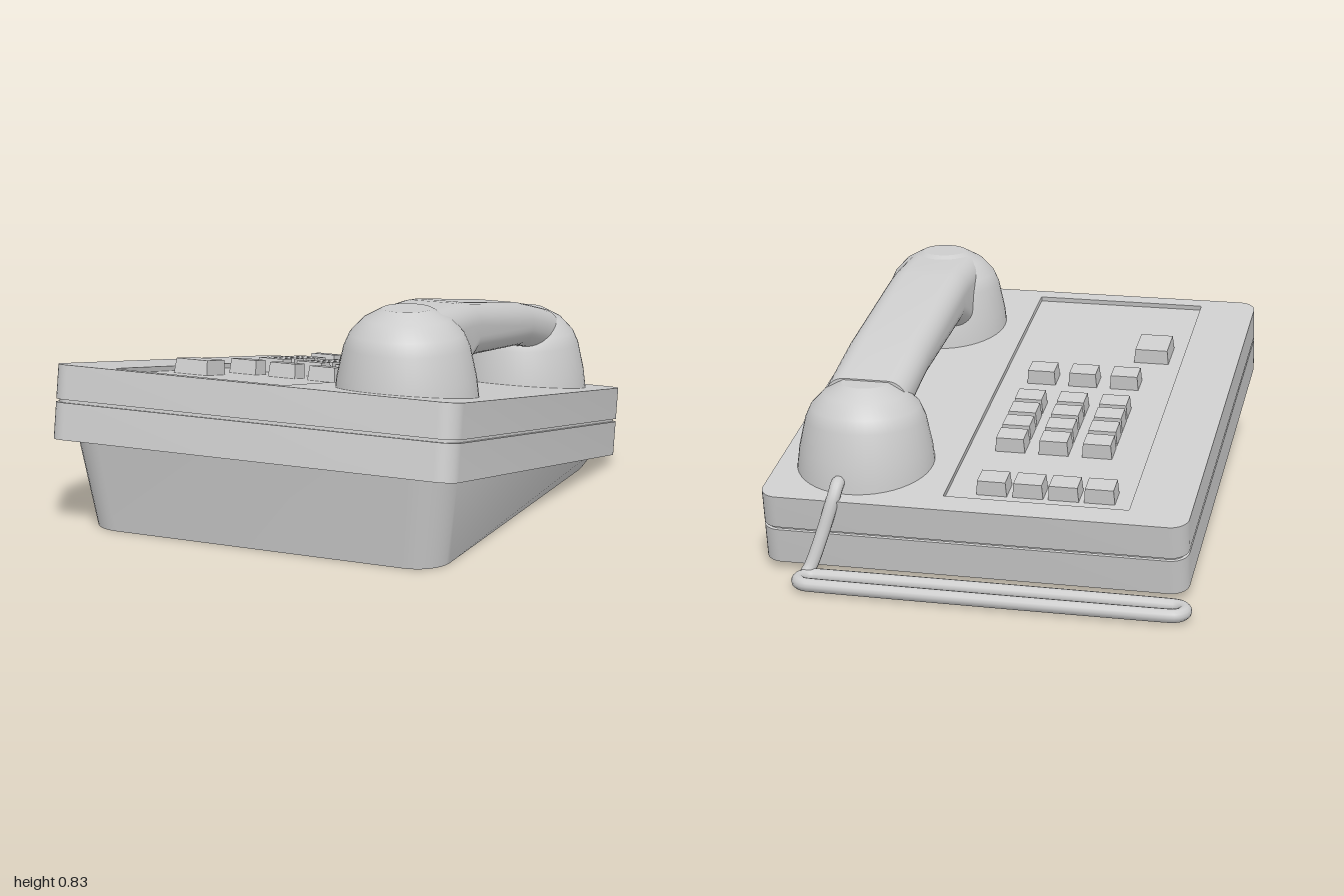
import * as THREE from 'three';
import { toCreasedNormals } from 'three/addons/utils/BufferGeometryUtils.js';

const grey = new THREE.MeshStandardMaterial({ color: 0xcccccc });
grey.name = 'light grey plastic';

const TILT = THREE.MathUtils.degToRad(10);
const CX = 0.018, CY = 0.443, CZ = 0.065; // middle of the sloping top face

function part(parent, name, geometry, x = 0, y = 0, z = 0) {
  const mesh = new THREE.Mesh(geometry, grey);
  mesh.name = name;
  mesh.position.set(x, y, z);
  parent.add(mesh);
  return mesh;
}

// Counter-clockwise outline of a rectangle with rounded corners
function roundRect(x0, x1, y0, y1, r, n = 8) {
  const pts = [];
  const corners = [[x1 - r, y1 - r], [x0 + r, y1 - r], [x0 + r, y0 + r], [x1 - r, y0 + r]];
  corners.forEach(([cx, cy], k) => {
    for (let i = 0; i <= n; i++) {
      const a = (k + i / n) * Math.PI / 2;
      pts.push(new THREE.Vector2(cx + r * Math.cos(a), cy + r * Math.sin(a)));
    }
  });
  return pts;
}

// Closed skin through a list of equal-length rings, capped at both ends
function loft(rings, crease) {
  const pos = [], index = [], n = rings[0].length;
  rings.forEach(ring => ring.forEach(p => pos.push(p.x, p.y, p.z)));
  for (let i = 0; i < rings.length - 1; i++) {
    for (let j = 0; j < n; j++) {
      const a = i * n + j, b = i * n + (j + 1) % n;
      index.push(a, b, b + n, a, b + n, a + n);
    }
  }
  [0, rings.length - 1].forEach((r, end) => {
    const c = new THREE.Vector3();
    rings[r].forEach(p => c.addScaledVector(p, 1 / n));
    const ci = pos.length / 3;
    pos.push(c.x, c.y, c.z);
    for (let j = 0; j < n; j++) {
      const a = r * n + j, b = r * n + (j + 1) % n;
      if (end) index.push(ci, a, b); else index.push(ci, b, a);
    }
  });
  const g = new THREE.BufferGeometry();
  g.setAttribute('position', new THREE.Float32BufferAttribute(pos, 3));
  g.setIndex(index);
  return toCreasedNormals(g, crease);
}

// Horizontal slab between two heights, with an optional rectangular opening
function slab(outline, bottom, top, hole) {
  const shape = new THREE.Shape(outline);
  if (hole) shape.holes.push(new THREE.Path(hole));
  const g = new THREE.ExtrudeGeometry(shape, { depth: top - bottom, bevelEnabled: false });
  g.rotateX(-Math.PI / 2);
  g.translate(0, bottom, 0);
  return toCreasedNormals(g, 0.5);
}

// Key that narrows slightly towards its top
function keyGeometry(w, d) {
  const g = new THREE.BoxGeometry(w, 0.06, d);
  const p = g.attributes.position;
  for (let i = 0; i < p.count; i++) {
    if (p.getY(i) > 0) p.setXYZ(i, p.getX(i) * 0.92, p.getY(i), p.getZ(i) * 0.92);
  }
  return toCreasedNormals(g, 0.1);
}

export function createModel() {
  const model = new THREE.Group();
  model.name = 'deskTelephone';

  // Tapered foot, cut off by the sloping underside of the body
  const underside = z => CY + (z - CZ) * Math.tan(TILT) - 0.268 + 0.008;
  const foot = roundRect(-0.655, 0.69, -0.9, 0.71, 0.12).map(p => new THREE.Vector3(p.x, 0, -p.y));
  const rim = roundRect(-0.7, 0.735, -0.955, 0.72, 0.13)
    .map(p => new THREE.Vector3(p.x, underside(-p.y), -p.y));
  part(model, 'base', loft([foot, rim], 0.5));

  // Sloping body: two shells with a thin seam, and a sunken key panel
  const body = new THREE.Group();
  body.name = 'body';
  body.position.set(CX, CY, CZ);
  body.rotation.x = -TILT;
  model.add(body);
  const W = 0.763, L = 0.904;
  const outline = roundRect(-W, W, -L, L, 0.065);
  const inner = roundRect(-W + 0.012, W - 0.012, -L + 0.012, L - 0.012, 0.053);
  const opening = roundRect(-0.53 - CX, 0.13 - CX, -0.848, 0.807, 0.004, 2).reverse();
  part(body, 'topShell', slab(outline, -0.122, 0, opening));
  part(body, 'core', slab(inner, -0.2, -0.018));
  part(body, 'bottomShell', slab(outline, -0.264, -0.133));

  // Keys, placed on the panel
  const place = (name, geometry, x, z) =>
    part(body, name, geometry, x - CX, 0.006, (z - CZ) / Math.cos(TILT) + 0.004);
  const key = keyGeometry(0.11, 0.088);
  for (const x of [-0.415, -0.287, -0.16, -0.03]) place('functionKey', key, x, -0.635);
  for (const z of [-0.32, -0.218, -0.115, -0.013, 0.217]) {
    for (const x of [-0.345, -0.185, -0.025]) place(z > 0.1 ? 'lowerKey' : 'numberKey', key, x, z);
  }
  place('largeKey', keyGeometry(0.135, 0.148), -0.41, 0.475);

  // Handset: two domed cups joined by a rounded grip
  const handset = new THREE.Group();
  handset.name = 'handset';
  handset.position.x = 0.467;
  model.add(handset);
  const profile = [[0.252, -0.37], [0.249, -0.31], [0.24, -0.235], [0.217, -0.13],
    [0.197, -0.085], [0.15, -0.035], [0.085, 0]].map(p => new THREE.Vector2(...p));
  for (const [name, y, z] of [['frontCup', 0.835, 0.63], ['backCup', 0.635, -0.52]]) {
    part(handset, name, new THREE.LatheGeometry(profile, 48), 0, y, z);
    part(handset, name + 'Top', new THREE.CircleGeometry(0.085, 48).rotateX(-Math.PI / 2), 0, y, z);
  }
  const sections = [[-0.515, 0.64, 0.475], [-0.36, 0.68, 0.518], [-0.22, 0.715, 0.553],
    [0.33, 0.81, 0.617], [0.4, 0.818, 0.59], [0.6, 0.826, 0.5]];
  part(handset, 'grip', loft(sections.map(([z, top, bottom]) =>
    roundRect(-0.155, 0.155, bottom, top, 0.076).map(p => new THREE.Vector3(p.x, p.y, z))), 0.6));

  // Cord: lead from the back cup down to a long flat loop
  const R = 0.024;
  const lead = new THREE.CatmullRomCurve3([[0.5, 0.33, -0.73], [0.5, 0.335, -0.775],
    [0.505, 0.3, -0.805], [0.54, 0.17, -0.838], [0.575, 0.06, -0.868], [0.59, R + 0.006, -0.885]]
    .map(p => new THREE.Vector3(...p)), false, 'centripetal');
  part(model, 'cordLead', new THREE.TubeGeometry(lead, 40, R, 12));
  const loopPoints = roundRect(-0.761, 0.602, 0.884, 0.976, 0.0459, 6)
    .filter((p, i, all) => p.distanceTo(all[(i + 1) % all.length]) > 0.002)
    .map(p => new THREE.Vector3(p.x, R + 0.005, -p.y));
  const loop = new THREE.CatmullRomCurve3(loopPoints, true, 'centripetal');
  part(model, 'cordLoop', new THREE.TubeGeometry(loop, 240, R, 12, true));

  return model;
}
